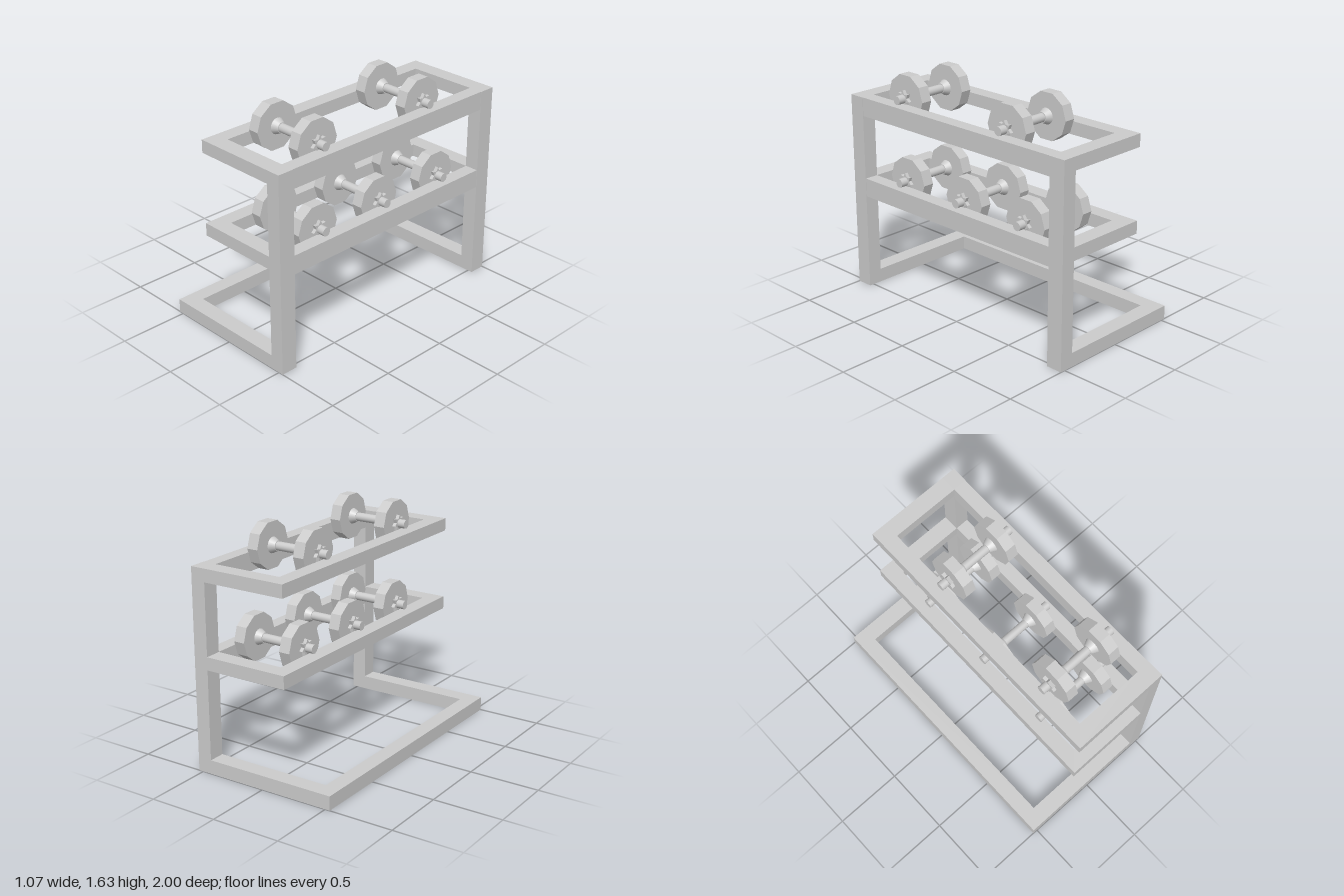
import * as THREE from 'three';

const steel = new THREE.MeshStandardMaterial({ color: 0xcccccc, flatShading: true, side: THREE.DoubleSide });
const smooth = new THREE.MeshStandardMaterial({ color: 0xcccccc });

function add(parent, name, geometry, material, x = 0, y = 0, z = 0) {
  const mesh = new THREE.Mesh(geometry, material);
  mesh.name = name;
  mesh.position.set(x, y, z);
  parent.add(mesh);
  return mesh;
}

// Removes the downward faces, leaving a channel open at the bottom
function openBelow(geometry) {
  const g = geometry.index ? geometry.toNonIndexed() : geometry;
  const p = g.attributes.position, n = g.attributes.normal, kept = [];
  for (let i = 0; i < p.count; i += 3) {
    if (n.getY(i) < -0.9) continue;
    for (let k = i; k < i + 3; k++) kept.push(p.getX(k), p.getY(k), p.getZ(k));
  }
  const out = new THREE.BufferGeometry();
  out.setAttribute('position', new THREE.Float32BufferAttribute(kept, 3));
  out.computeVertexNormals();
  return out;
}

// U-shaped frame: one long rail at x0 and two side rails reaching back to x1
function uFrame(x0, x1, height, rail = 0.112, inner = 0.88) {
  const points = [[x0, -1], [x1, -1], [x1, -inner], [x0 + rail, -inner],
    [x0 + rail, inner], [x1, inner], [x1, 1], [x0, 1]];
  const shape = new THREE.Shape(points.map(([x, y]) => new THREE.Vector2(x, y)));
  const g = new THREE.ExtrudeGeometry(shape, { depth: height, bevelEnabled: false });
  return openBelow(g.rotateX(-Math.PI / 2));
}

// Cylinder lying along x, with r0 at its -x end and r1 at its +x end
function rod(r0, r1, length, sides) {
  return new THREE.CylinderGeometry(r1, r0, length, sides).rotateZ(-Math.PI / 2);
}

// Seven-pointed locking nut, centred on its thickness
function starNut(thickness) {
  const points = [];
  for (let i = 0; i < 14; i++) {
    const a = Math.PI / 2 + i * Math.PI / 7, r = i % 2 ? 0.037 : 0.06;
    points.push(new THREE.Vector2(Math.cos(a) * r, Math.sin(a) * r));
  }
  const g = new THREE.ExtrudeGeometry(new THREE.Shape(points), { depth: thickness, bevelEnabled: false });
  return g.translate(0, 0, -thickness / 2).rotateY(Math.PI / 2);
}

function dumbbell() {
  const group = new THREE.Group();
  group.name = 'dumbbell';
  add(group, 'bar', rod(0.031, 0.031, 0.614, 20), smooth);
  for (const s of [-1, 1]) {
    add(group, 'plate', rod(0.17, 0.17, 0.082, 10), steel, s * 0.186);
    add(group, 'collar', s > 0 ? rod(0.036, 0.058, 0.045, 20) : rod(0.058, 0.036, 0.045, 20), smooth, s * 0.124);
    add(group, 'lockingNut', starNut(0.026), steel, s * 0.239);
  }
  return group;
}

export function createModel() {
  const model = new THREE.Group();
  model.name = 'dumbbellRack';

  // Floor frame and uprights
  add(model, 'baseFrame', uFrame(-0.535, 0.43, 0.1), steel);
  for (const s of [-1, 1]) {
    add(model, 'upright', openBelow(new THREE.BoxGeometry(0.105, 1.435, 0.12)), steel, 0.4825, 0.7175, s * 0.94);
  }

  // Two shelves, each with a back rail and its dumbbells
  const shelves = [
    { top: 0.835, zs: [-0.566, 0, 0.564] },
    { top: 1.435, zs: [-0.4, 0.564] },
  ];
  for (const { top, zs } of shelves) {
    add(model, 'shelfFrame', uFrame(-0.19, 0.43, 0.092), steel, 0, top - 0.092);
    add(model, 'shelfBackRail', new THREE.BoxGeometry(0.1, 0.135, 1.76), steel, 0.482, top - 0.0675);
    for (const z of zs) {
      const weight = dumbbell();
      weight.position.set(0.188, top + 0.035, z);
      model.add(weight);
    }
  }
  return model;
}
